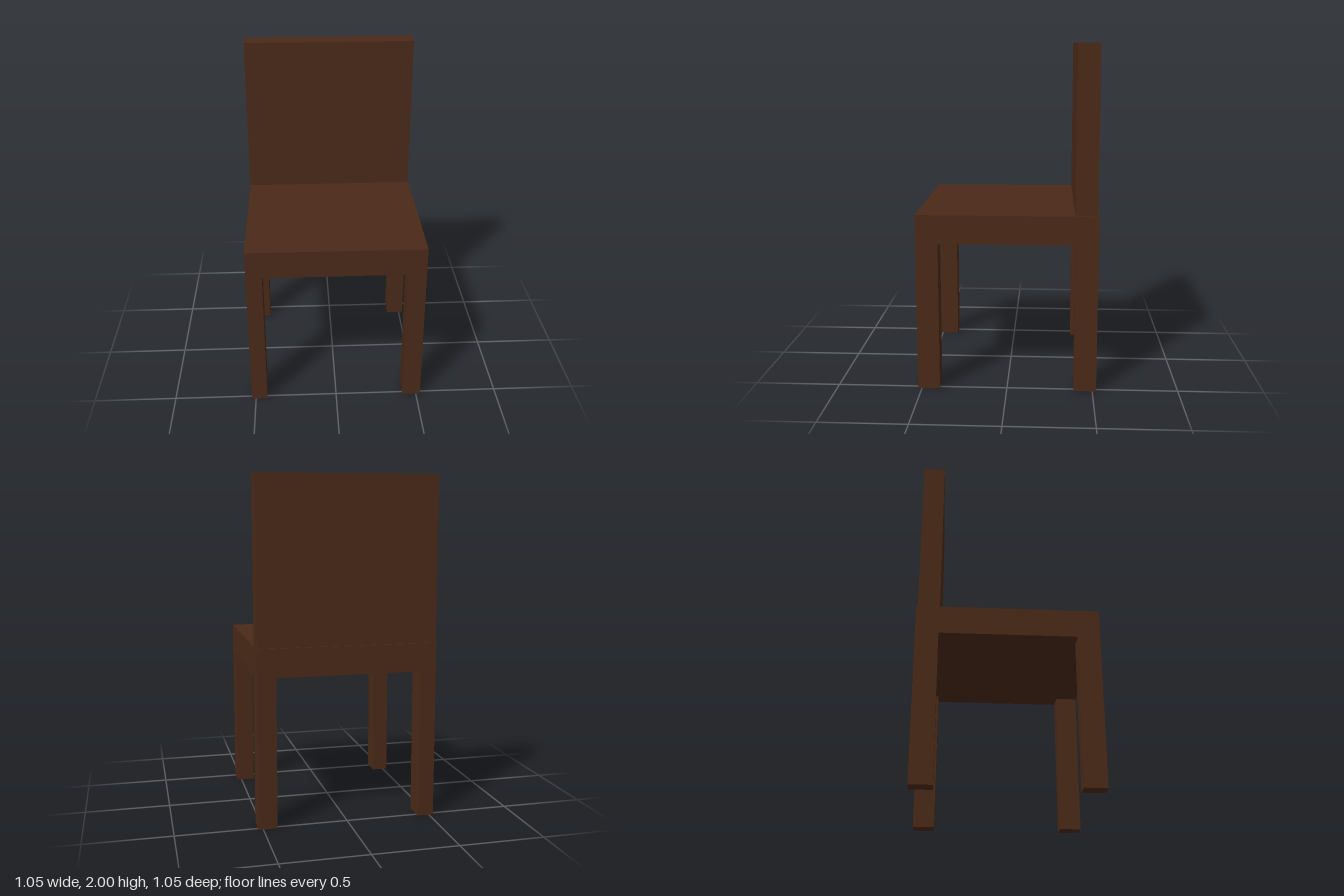
import * as THREE from 'three';

export function createModel() {
  const chair = new THREE.Group();
  chair.name = 'chair';
  const wood = new THREE.MeshStandardMaterial({ color: 0x4b2a18 });

  // Box given by its extents along each axis
  function addBox(name, [x0, x1], [y0, y1], [z0, z1]) {
    const mesh = new THREE.Mesh(new THREE.BoxGeometry(x1 - x0, y1 - y0, z1 - z0), wood);
    mesh.name = name;
    mesh.position.set((x0 + x1) / 2, (y0 + y1) / 2, (z0 + z1) / 2);
    chair.add(mesh);
  }

  const seatBottom = 0.875, seatTop = 1.042;

  // Seat slab
  addBox('seat', [-0.526, 0.526], [seatBottom, seatTop], [-0.523, 0.523]);

  // Upright backrest, set in slightly from the rear edge of the seat
  addBox('backrest', [-0.526, 0.522], [seatTop, 2], [-0.514, -0.388]);

  // Four legs flush with the seat's corners
  const sides = { right: [-0.526, -0.43], left: [0.417, 0.526] };
  const ends = { front: [0.394, 0.523], back: [-0.523, -0.392] };
  for (const [end, z] of Object.entries(ends)) {
    for (const [side, x] of Object.entries(sides)) {
      addBox(`${end} ${side} leg`, x, [0, seatBottom], z);
    }
  }

  return chair;
}
